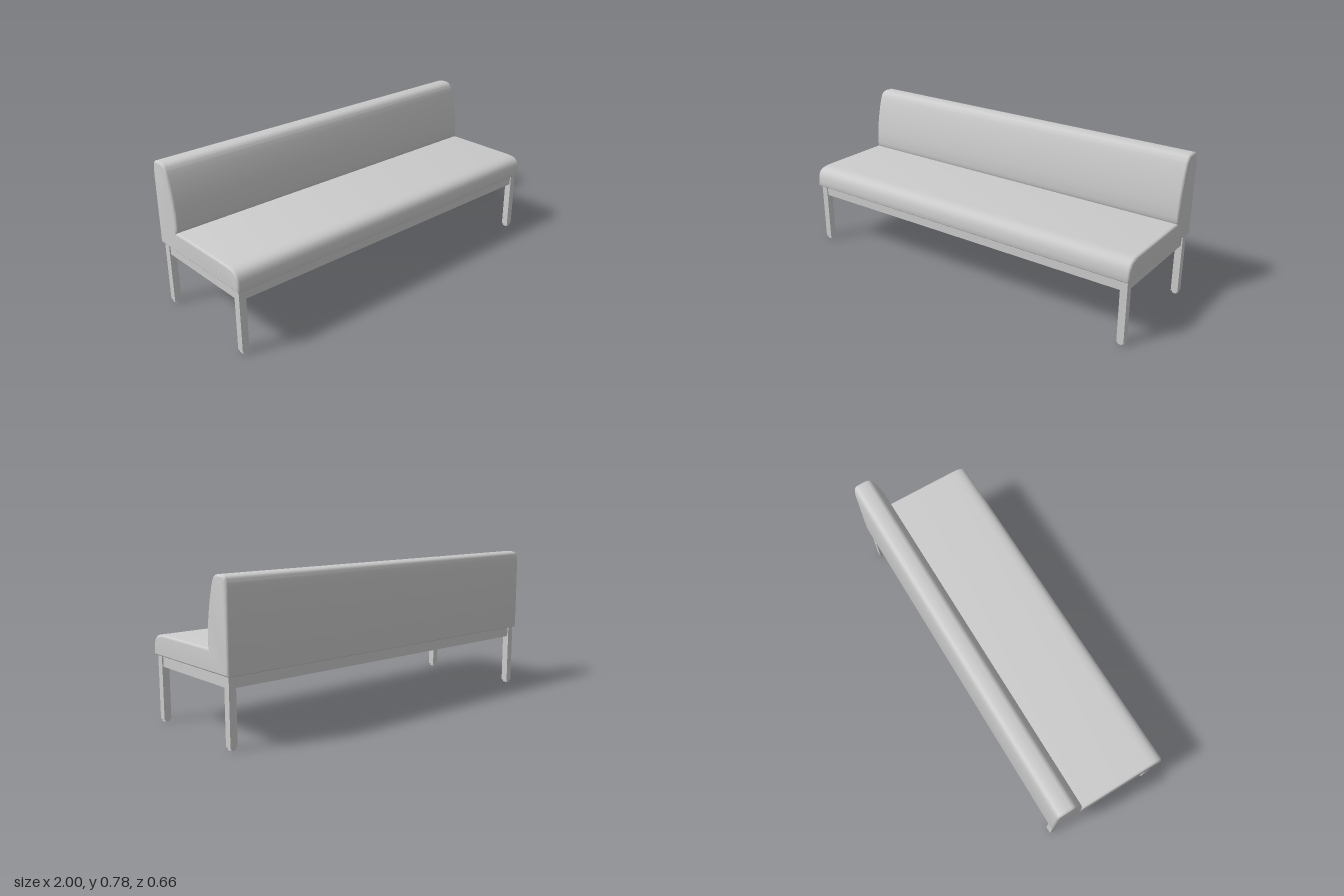
import * as THREE from 'three';
import { toCreasedNormals } from 'three/addons/utils/BufferGeometryUtils.js';

const material = new THREE.MeshStandardMaterial({ color: 0xcccccc });

function addPart(parent, name, geometry, x = 0, y = 0, z = 0) {
  const mesh = new THREE.Mesh(geometry, material);
  mesh.name = name;
  mesh.position.set(x, y, z);
  parent.add(mesh);
  return mesh;
}

// Side profile of seat and backrest, drawn with the back towards +X
function cushionProfile() {
  const s = new THREE.Shape();
  s.moveTo(-0.325, 0.335);
  s.lineTo(0.324, 0.335);
  s.quadraticCurveTo(0.332, 0.335, 0.332, 0.345);
  s.lineTo(0.332, 0.69);
  s.bezierCurveTo(0.331, 0.73, 0.328, 0.76, 0.318, 0.77);
  s.quadraticCurveTo(0.306, 0.778, 0.292, 0.778);
  s.lineTo(0.258, 0.778);
  s.bezierCurveTo(0.238, 0.776, 0.226, 0.766, 0.217, 0.745);
  s.bezierCurveTo(0.195, 0.69, 0.167, 0.56, 0.167, 0.48);
  s.quadraticCurveTo(0.167, 0.448, 0.172, 0.441);
  s.quadraticCurveTo(0.167, 0.444, 0.155, 0.444);
  s.lineTo(-0.245, 0.444);
  s.bezierCurveTo(-0.305, 0.443, -0.331, 0.43, -0.333, 0.365);
  s.lineTo(-0.333, 0.345);
  s.quadraticCurveTo(-0.333, 0.335, -0.325, 0.335);
  return s;
}

// Square foot with clipped corners
function footGeometry(half, chamfer, height) {
  const c = half - chamfer;
  const corners = [[half, -c], [half, c], [c, half], [-c, half], [-half, c], [-half, -c], [-c, -half], [c, -half]];
  const shape = new THREE.Shape(corners.map(([x, y]) => new THREE.Vector2(x, y)));
  return new THREE.ExtrudeGeometry(shape, { depth: height, bevelEnabled: false }).rotateX(-Math.PI / 2);
}

export function createModel() {
  const bench = new THREE.Group();
  bench.name = 'bench';

  // Upholstered seat and backrest with softened ends
  const bevel = 0.012;
  const cushion = new THREE.ExtrudeGeometry(cushionProfile(), {
    depth: 2 - 2 * bevel, curveSegments: 8,
    bevelEnabled: true, bevelSize: bevel, bevelThickness: bevel, bevelOffset: -bevel, bevelSegments: 4,
  });
  cushion.translate(0, 0, bevel - 1);
  cushion.rotateY(Math.PI / 2);
  addPart(bench, 'upholstery', toCreasedNormals(cushion, 0.7));

  // Legs and feet
  const frame = new THREE.Group();
  frame.name = 'frame';
  bench.add(frame);
  const legX = 0.969, legZ = 0.298, leg = 0.037, seatBottom = 0.336, footHeight = 0.012;
  const legGeometry = new THREE.BoxGeometry(leg, seatBottom - footHeight, leg);
  const foot = footGeometry(0.0145, 0.004, footHeight);
  for (const x of [-legX, legX]) {
    for (const z of [-legZ, legZ]) {
      addPart(frame, 'leg', legGeometry, x, (seatBottom + footHeight) / 2, z);
      addPart(frame, 'foot', foot, x, 0, z);
    }
  }

  // Rails between the legs
  const railY = 0.308, railHeight = 0.056, railWidth = 0.024;
  const longRail = new THREE.BoxGeometry(2 * legX - leg, railHeight, railWidth);
  const sideRail = new THREE.BoxGeometry(railWidth, railHeight, 2 * legZ - leg);
  for (const side of [-1, 1]) {
    addPart(frame, 'longRail', longRail, 0, railY, side * legZ);
    addPart(frame, 'sideRail', sideRail, side * legX, railY, 0);
  }
  return bench;
}
